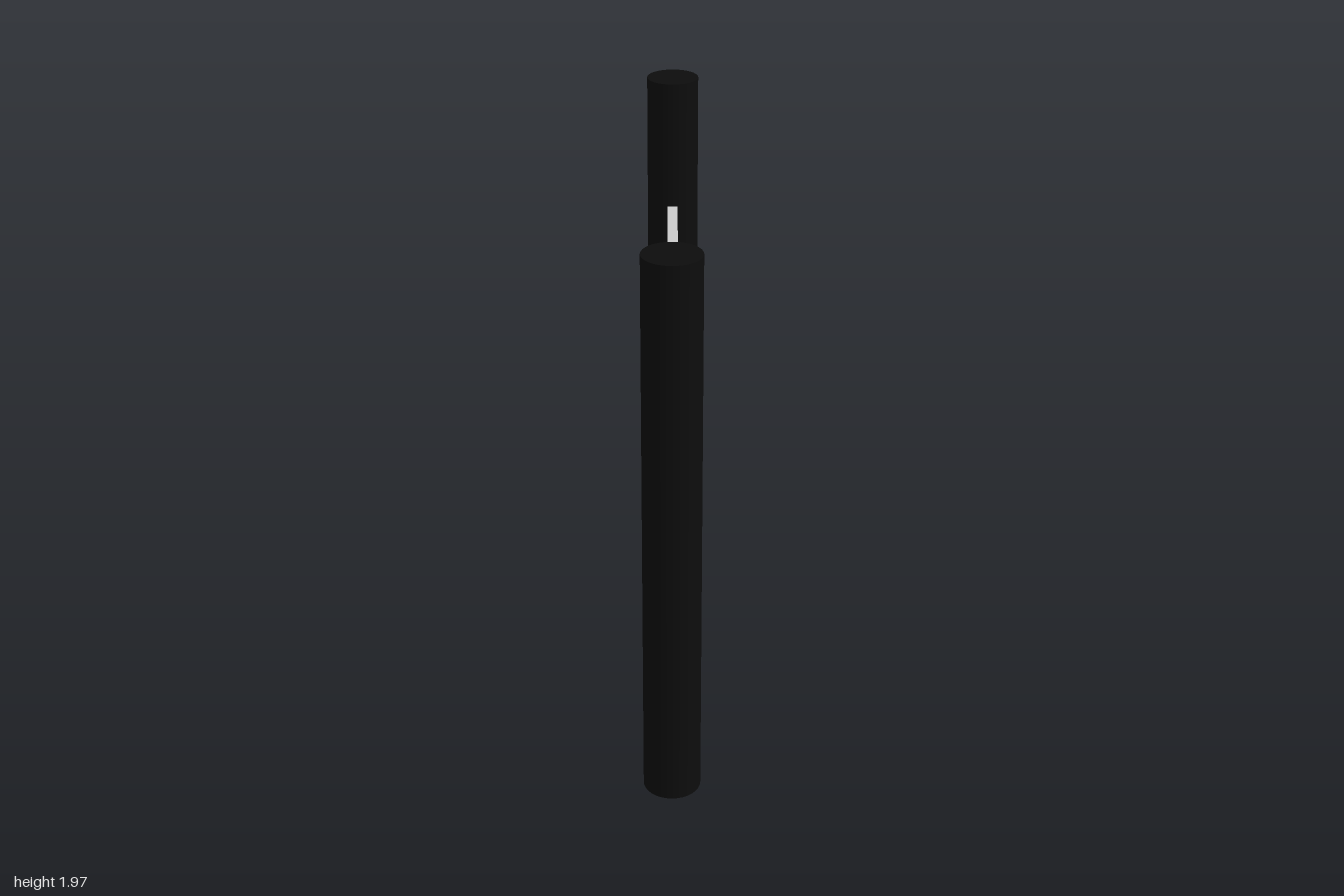
import * as THREE from 'three';

const POST_RADIUS = 0.098;
const POST_HEIGHT = 1.967;
const POST_Z = 1 - POST_RADIUS;

export function createModel() {
  const group = new THREE.Group();
  const black = new THREE.MeshStandardMaterial({ color: 0x0d0d0d });
  const grey = new THREE.MeshStandardMaterial({ color: 0xcccccc });

  // Round posts at the front and back
  const postGeometry = new THREE.CylinderGeometry(POST_RADIUS, POST_RADIUS, POST_HEIGHT, 32);
  for (const [name, side] of [['frontPost', 1], ['backPost', -1]]) {
    const post = new THREE.Mesh(postGeometry, black);
    post.name = name;
    post.position.set(0, POST_HEIGHT / 2, side * POST_Z);
    group.add(post);
  }

  // Thin panel spanning the gap between the posts
  const panelLength = 2 * (POST_Z - POST_RADIUS) + 0.004;
  const panel = new THREE.Mesh(new THREE.BoxGeometry(0.039, 0.983, panelLength), grey);
  panel.name = 'panel';
  panel.position.y = POST_HEIGHT / 2;
  group.add(panel);

  return group;
}
